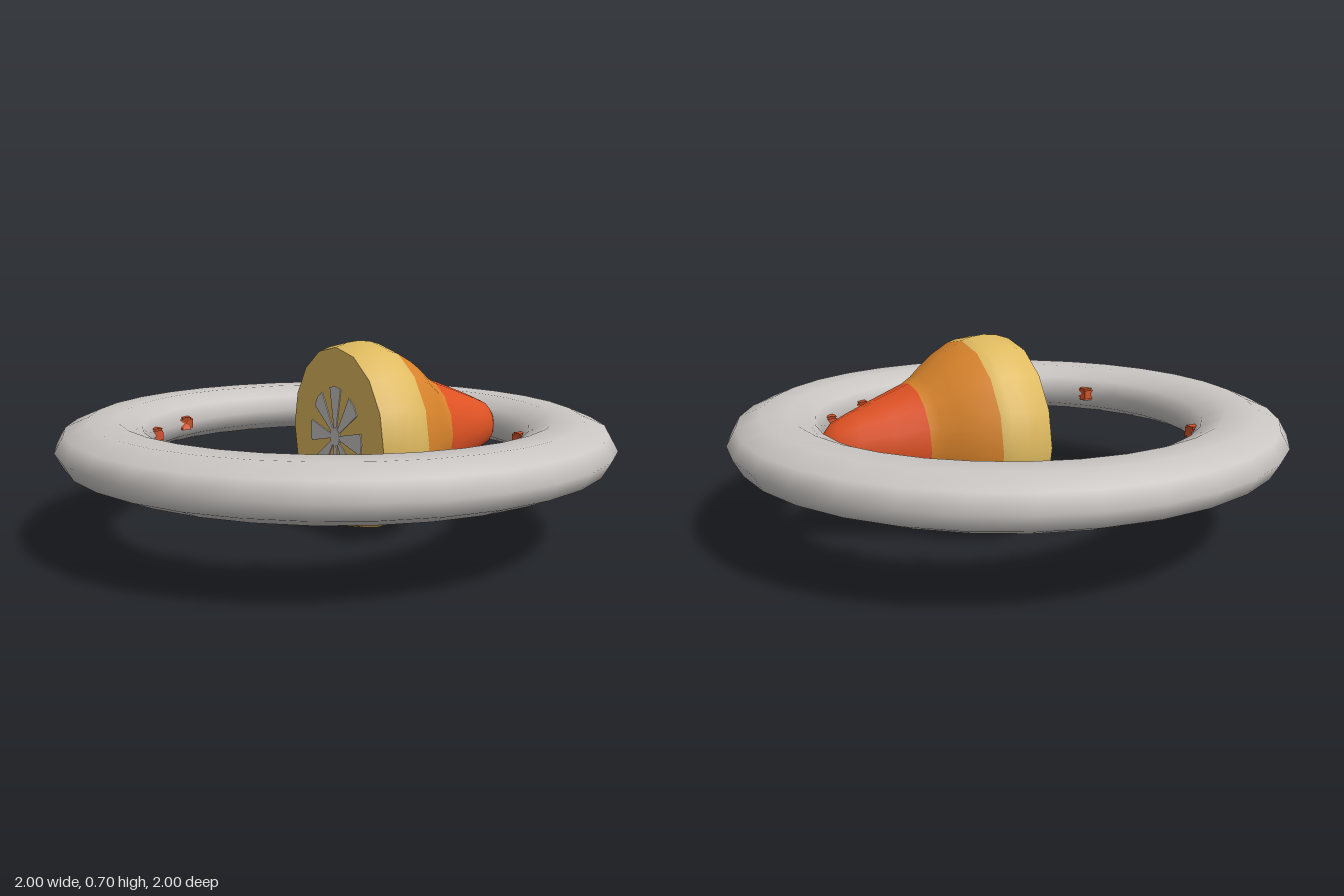
import * as THREE from 'three';

const mat = (name, color) => {
  const m = new THREE.MeshStandardMaterial({ color });
  m.name = name;
  return m;
};

export function createModel() {
  const silver = mat('silver', 0xcac6c3);
  const yellow = mat('yellow', 0xdfba60);
  const orange = mat('orange', 0xd9842c);
  const red = mat('red', 0xdf5224);
  const rust = mat('rust', 0xd0532a);

  const model = new THREE.Group();
  model.name = 'ringCraft';
  const add = (name, geometry, material, parent = model) => {
    const mesh = new THREE.Mesh(geometry, material);
    mesh.name = name;
    parent.add(mesh);
    return mesh;
  };
  const MID = 0.357;

  // Flattened ring lying in the horizontal plane
  const ring = new THREE.TorusGeometry(0.833, 0.167, 10, 32);
  ring.rotateX(-Math.PI / 2);
  ring.scale(1, 0.58, 1);
  add('ring', ring, silver).position.y = MID;

  // Bell-shaped pod along +x; profile is [radius, x]
  const pod = new THREE.Group();
  pod.name = 'pod';
  pod.position.y = MID;
  model.add(pod);
  const profile = [
    [0.33, 0], [0.346, 0.05], [0.351, 0.1], [0.345, 0.15], [0.334, 0.185],
    [0.298, 0.25], [0.262, 0.3], [0.22, 0.35], [0.199, 0.385],
    [0.155, 0.5], [0.115, 0.6], [0.088, 0.66], [0.055, 0.69], [0.022, 0.71], [0, 0.712],
  ].map(([r, x]) => new THREE.Vector2(r, x));
  const full = new THREE.LatheGeometry(profile, 16);
  full.rotateZ(-Math.PI / 2);
  const index = Array.from(full.index.array);
  const quads = profile.length - 1;
  // Each colour band keeps its own quads of the shared smooth surface
  const band = (name, from, to, material) => {
    const geometry = full.clone();
    geometry.setIndex(index.filter((_, k) => {
      const q = Math.floor(k / 6) % quads;
      return q >= from && q < to;
    }));
    add(name, geometry, material, pod);
  };
  band('podBase', 0, 4, yellow);
  band('podMiddle', 4, 8, orange);
  band('podNose', 8, quads, red);

  // Flat rear face
  const rear = new THREE.CircleGeometry(0.33, 16);
  rear.rotateY(-Math.PI / 2);
  add('podRearFace', rear, yellow, pod);

  // Fan of thin wedge blades on the rear face
  const wedge = new THREE.Shape();
  wedge.moveTo(0.008, 0.03);
  wedge.lineTo(0.04, 0.18);
  wedge.lineTo(0, 0.188);
  wedge.lineTo(-0.04, 0.18);
  wedge.lineTo(-0.008, 0.03);
  const bladeGeometry = new THREE.ExtrudeGeometry(wedge, { depth: 0.003, bevelEnabled: false });
  bladeGeometry.rotateY(-Math.PI / 2);
  for (let i = 0; i < 8; i++) {
    const blade = add('fanBlade', bladeGeometry, silver, pod);
    blade.position.x = -0.001;
    blade.rotation.x = (i * Math.PI) / 4;
  }
  const hub = new THREE.CylinderGeometry(0.035, 0.035, 0.004, 12);
  hub.rotateZ(Math.PI / 2);
  add('fanHub', hub, silver, pod).position.x = -0.003;

  // Eight small thrusters on the inside of the ring, each two crossed hourglasses
  const nozzle = new THREE.LatheGeometry(
    [[0, -0.025], [0.026, -0.025], [0.014, 0], [0.026, 0.025], [0, 0.025]]
      .map(([r, y]) => new THREE.Vector2(r, y)), 4).toNonIndexed();
  nozzle.rotateY(Math.PI / 4);
  nozzle.computeVertexNormals();
  for (const sx of [-1, 1]) for (const sz of [-1, 1]) {
    for (const [x, z] of [[0.372, 0.558], [0.558, 0.372]]) {
      const thruster = new THREE.Group();
      thruster.name = 'thruster';
      thruster.position.set(sx * x, MID, sz * z);
      model.add(thruster);
      add('verticalNozzles', nozzle, rust, thruster);
      const side = add('sideNozzles', nozzle, rust, thruster);
      if (x > z) side.rotation.x = Math.PI / 2;
      else side.rotation.z = Math.PI / 2;
    }
  }
  return model;
}
